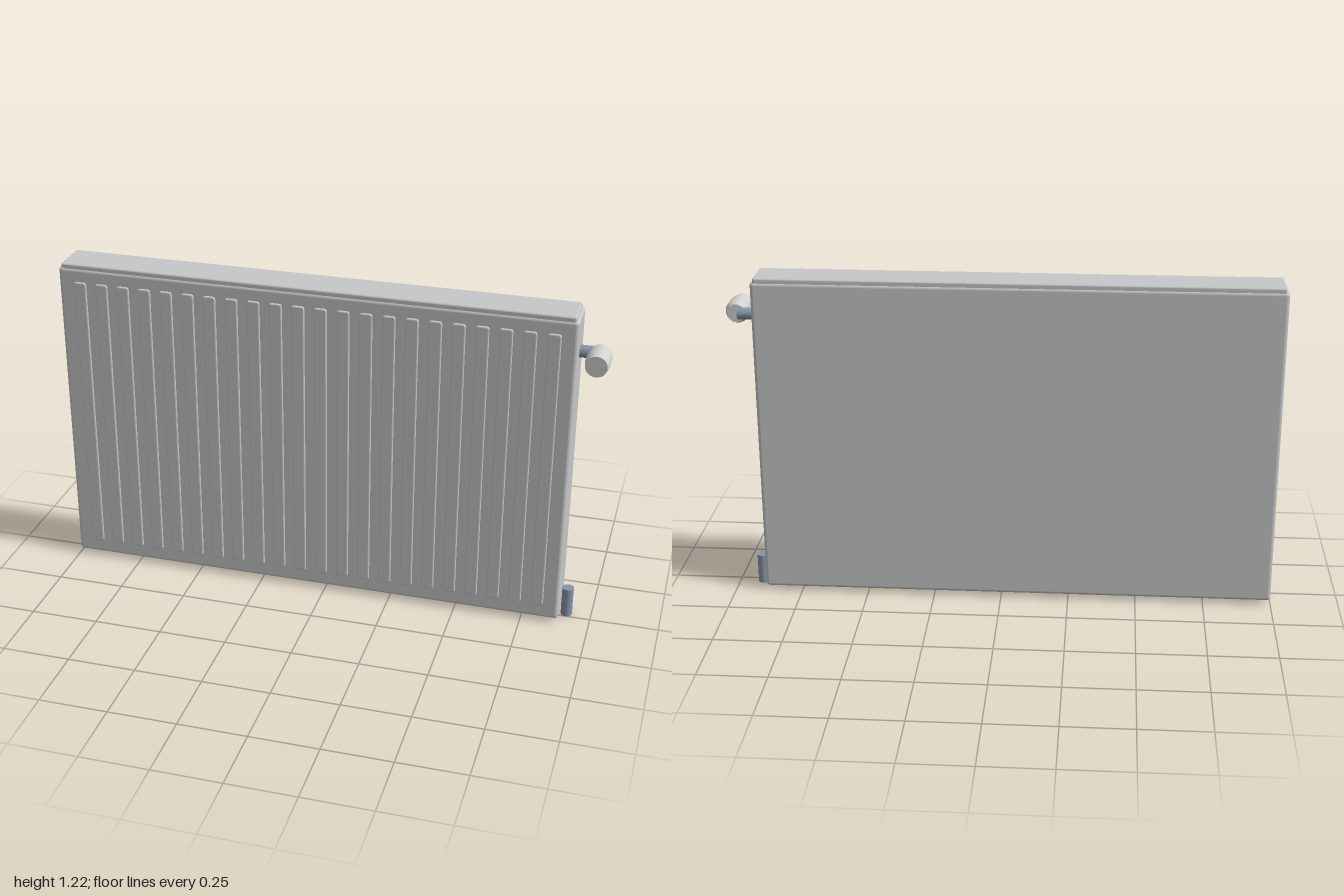
import * as THREE from 'three';
import { RoundedBoxGeometry } from 'three/addons/geometries/RoundedBoxGeometry.js';

const enamel = new THREE.MeshStandardMaterial({ name: 'grey enamel', color: 0xc6c7c8 });
const plastic = new THREE.MeshStandardMaterial({ name: 'pale plastic', color: 0xd0d0ce });
const steel = new THREE.MeshStandardMaterial({ name: 'blue steel', color: 0x8796ab });

function addMesh(parent, name, geometry, material, x, y, z) {
  const mesh = new THREE.Mesh(geometry, material);
  mesh.name = name;
  mesh.position.set(x, y, z);
  parent.add(mesh);
  return mesh;
}

// Rounded box given by its lower and upper corners
function addBox(parent, name, min, max, radius) {
  const size = max.map((v, i) => v - min[i]);
  const mid = max.map((v, i) => (v + min[i]) / 2);
  return addMesh(parent, name, new RoundedBoxGeometry(...size, 4, radius), enamel, ...mid);
}

// Raised rib: a rounded strip with a sloping, bevelled rim
function ribGeometry(width, height, depth) {
  const bevel = 0.005;
  const w = width / 2 - bevel, h = height / 2 - bevel, r = 0.005;
  const s = new THREE.Shape();
  s.moveTo(-w + r, -h);
  s.lineTo(w - r, -h);
  s.quadraticCurveTo(w, -h, w, -h + r);
  s.lineTo(w, h - r);
  s.quadraticCurveTo(w, h, w - r, h);
  s.lineTo(-w + r, h);
  s.quadraticCurveTo(-w, h, -w, h - r);
  s.lineTo(-w, -h + r);
  s.quadraticCurveTo(-w, -h, -w + r, -h);
  return new THREE.ExtrudeGeometry(s, {
    depth, bevelEnabled: true, bevelSize: bevel, bevelThickness: bevel, bevelSegments: 3, curveSegments: 4
  });
}

export function createModel() {
  const radiator = new THREE.Group();
  radiator.name = 'radiator';

  // Panel body and its slightly inset top cover
  addBox(radiator, 'panel', [-1, 0.015, -0.097], [0.887, 1.2, 0.055], 0.013);
  addBox(radiator, 'topCover', [-0.99, 1.17, -0.093], [0.877, 1.215, 0.051], 0.007);

  // Vertical ribs across the front
  const ribs = new THREE.Group();
  ribs.name = 'frontRibs';
  radiator.add(ribs);
  const rib = ribGeometry(0.047, 1.08, 0.006);
  const count = 22, first = -0.918, last = 0.807;
  for (let i = 0; i < count; i++) {
    const x = first + (last - first) * i / (count - 1);
    addMesh(ribs, 'rib', rib, enamel, x, 1.15 - 0.54, 0.051);
  }

  // Thermostatic valve: stub out of the side, head pointing forward
  const valve = new THREE.Group();
  valve.name = 'valve';
  radiator.add(valve);
  const stub = addMesh(valve, 'valveStub', new THREE.CylinderGeometry(0.022, 0.022, 0.075, 32), steel, 0.9125, 1.064, -0.021);
  stub.rotation.z = Math.PI / 2;
  const profile = [[0, -0.021], [0.033, -0.021], [0.036, -0.014], [0.0425, 0.004], [0.0425, 0.06],
    [0.041, 0.078], [0.038, 0.098], [0, 0.098]];
  // Doubled corner points keep the end faces crisp
  const points = profile.flatMap(([r, y], i) =>
    Array.from({ length: i === 1 || i === 6 ? 2 : 1 }, () => new THREE.Vector2(r, y)));
  const head = addMesh(valve, 'valveHead', new THREE.LatheGeometry(points, 40), plastic, 0.9575, 1.064, 0);
  head.rotation.x = Math.PI / 2;

  // Supply pipe at the lower corner
  addMesh(radiator, 'lowerPipe', new THREE.CylinderGeometry(0.021, 0.021, 0.113, 32), steel, 0.91, 0.0565, -0.021);

  return radiator;
}
